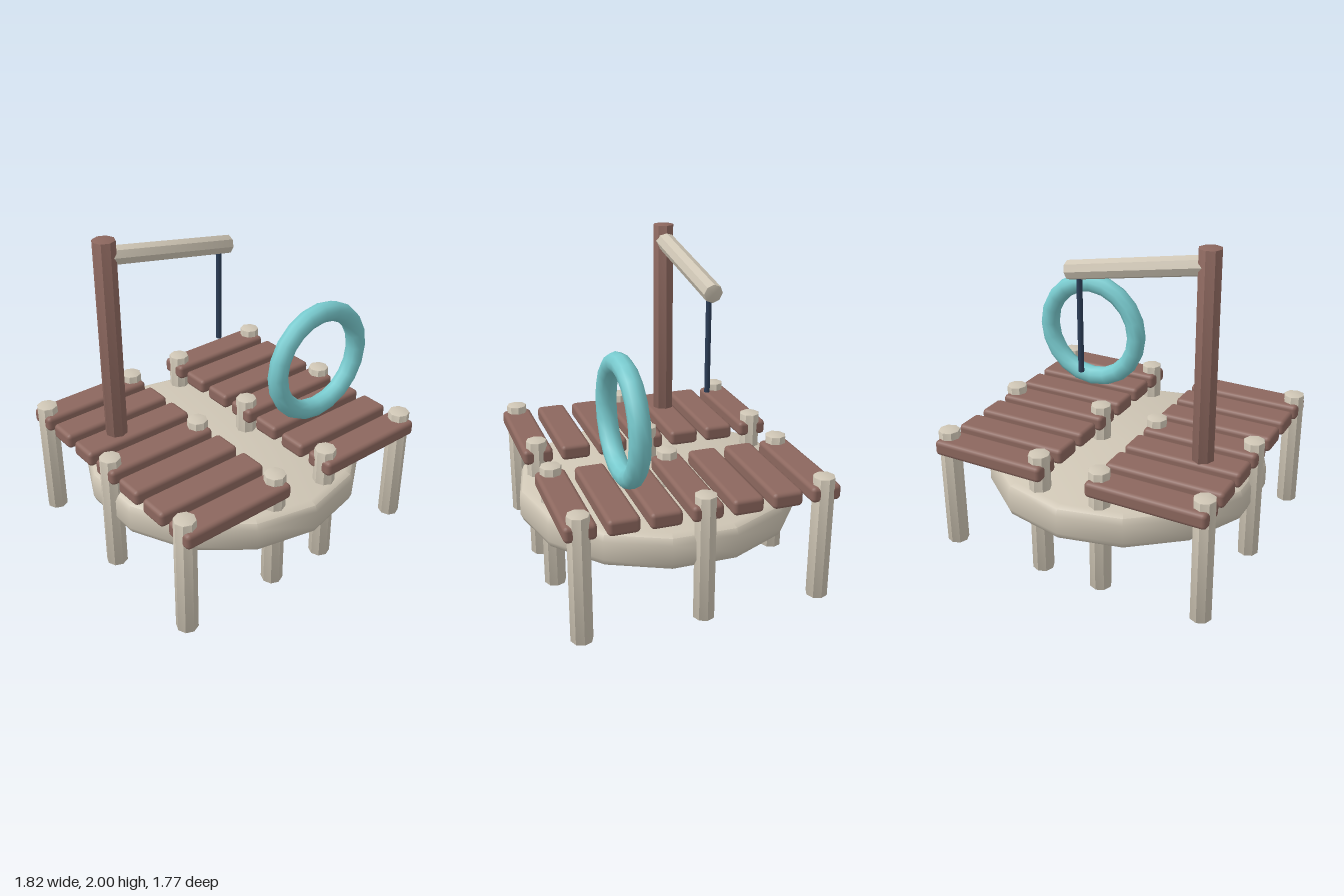
import * as THREE from 'three';
import { toCreasedNormals } from 'three/addons/utils/BufferGeometryUtils.js';
import { RoundedBoxGeometry } from 'three/addons/geometries/RoundedBoxGeometry.js';

const paint = (name, color) => Object.assign(new THREE.MeshStandardMaterial({ color }), { name });

export function createModel() {
  const cream = paint('pale wood', 0xcfc6b5);
  const brown = paint('brown wood', 0x8c675e);
  const teal = paint('teal', 0x78cace);
  const navy = paint('navy rope', 0x2c3e58);

  const model = new THREE.Group();
  model.name = 'dock';

  const add = (name, geometry, material, x = 0, y = 0, z = 0, parent = model) => {
    const mesh = new THREE.Mesh(geometry, material);
    mesh.name = name;
    mesh.position.set(x, y, z);
    parent.add(mesh);
    return mesh;
  };

  // Softly bevelled round log: closed lathe profile from y = 0 to y = height
  const log = (radius, height, bevel, sides, crease) => {
    const k = bevel * 0.3;
    const points = [
      [0, 0], [radius - bevel, 0], [radius - k, k], [radius, bevel],
      [radius, height - bevel], [radius - k, height - k], [radius - bevel, height], [0, height],
    ].map(([x, y]) => new THREE.Vector2(x, y));
    return toCreasedNormals(new THREE.LatheGeometry(points, sides), crease);
  };

  // Round base slab
  add('baseSlab', log(0.885, 0.223, 0.055, 14, 0.8), cream, 0, 0.332, 0);

  // Planks and posts of both decks
  const plank = new RoundedBoxGeometry(0.747, 0.098, 0.187, 2, 0.026);
  const post = log(0.066, 0.782, 0.006, 8, 0.6);
  for (const side of [-1, 1]) {
    const deck = new THREE.Group();
    deck.name = side > 0 ? 'leftDeck' : 'rightDeck';
    model.add(deck);
    for (let i = -3; i <= 3; i++) {
      add('plank', plank, brown, side * 0.52, 0.684, i * 0.2425 - 0.003, deck);
    }
    for (const z of [-0.73, 0, 0.727]) {
      for (const x of [0.2, 0.845]) add('post', post, cream, side * x, 0, z, deck);
    }
  }

  // Tall pole with a sloping arm
  const poleZ = -0.262;
  add('pole', log(0.069, 1.6, 0.006, 8, 0.6), brown, -0.628, 0.4, poleZ);

  const armStart = new THREE.Vector3(-0.62, 1.902, poleZ);
  const armEnd = new THREE.Vector3(0.254, 1.746, poleZ);
  const armDirection = armEnd.clone().sub(armStart);
  const arm = add('arm', log(0.059, armDirection.length(), 0.004, 8, 0.6), cream);
  arm.position.copy(armStart);
  arm.quaternion.setFromUnitVectors(new THREE.Vector3(0, 1, 0), armDirection.normalize());

  // Hanging rope
  add('rope', new THREE.CylinderGeometry(0.018, 0.018, 0.63, 8), navy, 0.183, 1.435, poleZ);

  // Swim ring standing on the deck
  add('swimRing', new THREE.TorusGeometry(0.33, 0.062, 10, 20), teal, 0.464, 1.12, 0.362);

  return model;
}
